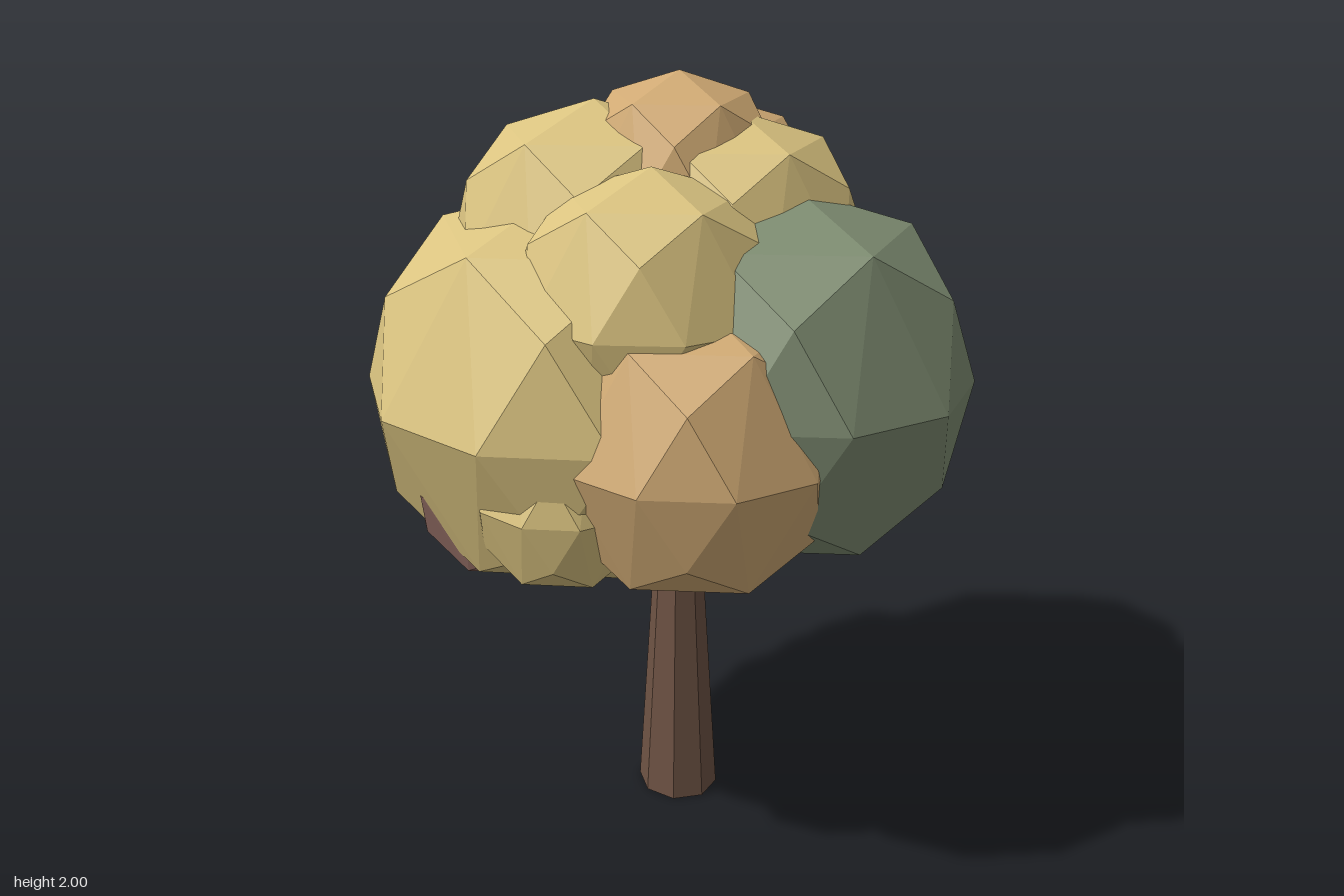
import * as THREE from 'three';
import { ConvexGeometry } from 'three/addons/geometries/ConvexGeometry.js';

const mat = (color) => new THREE.MeshStandardMaterial({ color, flatShading: true });
const MATS = {
  gold: mat(0xdac380),
  tan: mat(0xd0aa74),
  green: mat(0x7f8d72),
  mauve: mat(0x966f66),
  bark: mat(0x6d5243),
};

// Foliage clumps: colour, centre x y z, radius x y z
const CLUMPS = [
  ['gold', -0.25, 1.22, -0.02, 0.52, 0.51, 0.58], // large right side
  ['green', 0.265, 1.28, 0.24, 0.45, 0.47, 0.455], // front left
  ['tan', -0.02, 1.17, 0.375, 0.36, 0.37, 0.37], // front
  ['gold', -0.09, 1.48, 0.23, 0.34, 0.34, 0.33], // upper front
  ['gold', -0.16, 1.55, -0.09, 0.37, 0.38, 0.36], // upper right
  ['tan', 0.11, 1.49, -0.29, 0.43, 0.43, 0.45], // upper back
  ['tan', 0.045, 1.71, -0.04, 0.27, 0.29, 0.29], // crown
  ['gold', 0.17, 1.57, 0.06, 0.33, 0.34, 0.32], // upper left
  ['gold', 0.35, 1.185, -0.34, 0.4, 0.4, 0.4], // back left
  ['tan', 0.34, 1.22, -0.08, 0.425, 0.435, 0.43], // left
  ['mauve', 0.49, 1.05, -0.11, 0.22, 0.24, 0.22], // lower left
  ['mauve', -0.41, 1.0, 0.04, 0.26, 0.26, 0.27], // lower right
  ['tan', 0.015, 1.1, -0.48, 0.25, 0.28, 0.26], // lower back
  ['green', -0.24, 1.28, -0.38, 0.28, 0.31, 0.27], // back right
  ['gold', -0.33, 1.04, 0.28, 0.22, 0.24, 0.24], // lower front
];

// Coarse ball from rings: latitude, corner count, turn and radius in degrees
function clumpGeometry() {
  const rings = [[90, 1, 0, 1], [50, 5, 0, 1.03], [30, 5, 36, 1.01], [0, 10, 18, 1],
    [-30, 5, 36, 1.01], [-50, 5, 0, 1.03], [-90, 1, 0, 1]];
  const points = [];
  for (const [latitude, count, turn, radius] of rings) {
    for (let i = 0; i < count; i++) {
      const polar = THREE.MathUtils.degToRad(90 - latitude);
      const azimuth = THREE.MathUtils.degToRad(90 - turn - (i * 360) / count);
      points.push(new THREE.Vector3().setFromSphericalCoords(radius, polar, azimuth));
    }
  }
  return new ConvexGeometry(points);
}

// Cylinder stretched between two points
function limb(a, b, r0, r1, sides, name) {
  const dir = new THREE.Vector3().subVectors(b, a);
  const mesh = new THREE.Mesh(new THREE.CylinderGeometry(r1, r0, dir.length(), sides), MATS.bark);
  mesh.position.copy(a).addScaledVector(dir, 0.5);
  mesh.quaternion.setFromUnitVectors(new THREE.Vector3(0, 1, 0), dir.normalize());
  mesh.name = name;
  return mesh;
}

export function createModel() {
  const tree = new THREE.Group();
  tree.name = 'tree';
  const cx = 0.045, cz = -0.035;

  // Tapered eight-sided trunk, slightly deeper than wide
  const trunkGeometry = new THREE.CylinderGeometry(0.064, 0.108, 0.73, 8);
  trunkGeometry.rotateY(Math.PI / 8).scale(1, 1, 1.15);
  const trunk = new THREE.Mesh(trunkGeometry, MATS.bark);
  trunk.position.set(cx, 0.365, cz);
  trunk.name = 'trunk';
  tree.add(trunk);

  // Branches fanning into the canopy
  const branches = new THREE.Group();
  branches.name = 'branches';
  for (let i = 0; i < 6; i++) {
    const a = (i / 6) * Math.PI * 2 + 0.4;
    const at = (r, y) => new THREE.Vector3(cx + r * Math.cos(a), y, cz + r * Math.sin(a));
    branches.add(limb(at(0.03, 0.6), at(0.3, 0.9), 0.022, 0.014, 6, 'branch'));
  }
  tree.add(branches);

  // Faceted foliage
  const ball = clumpGeometry();
  const canopy = new THREE.Group();
  canopy.name = 'canopy';
  for (const [color, x, y, z, rx, ry, rz] of CLUMPS) {
    const clump = new THREE.Mesh(ball, MATS[color]);
    clump.position.set(x, y, z);
    clump.scale.set(rx, ry, rz);
    clump.name = color + 'FoliageClump';
    canopy.add(clump);
  }
  tree.add(canopy);
  return tree;
}
